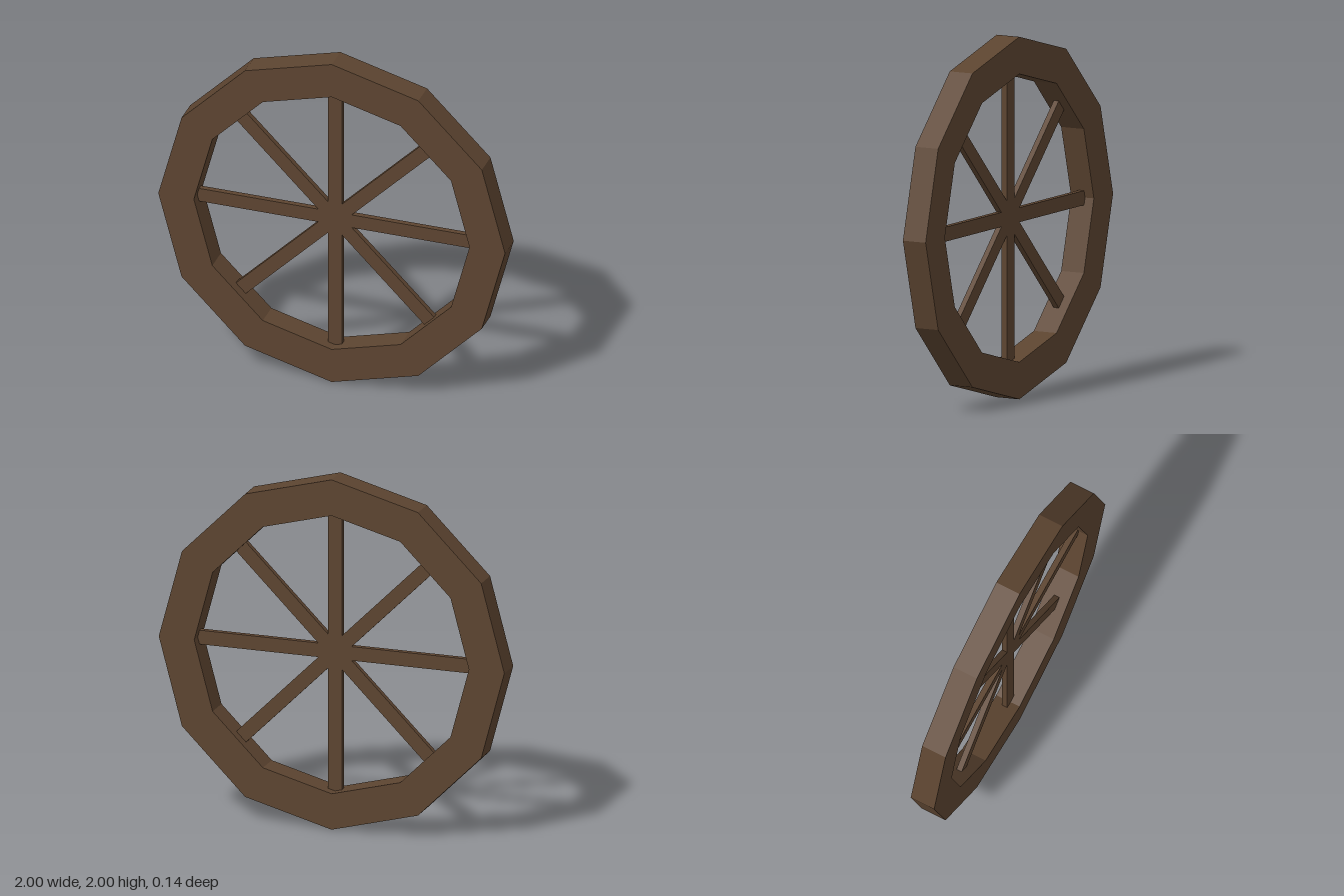
import * as THREE from 'three';

const SIDES = 12;
const OUTER = 1, INNER = 0.795, DEPTH = 0.144;

// Corner points of a regular polygon with a corner at the top
function polygon(radius) {
  return Array.from({ length: SIDES }, (_, i) => {
    const a = Math.PI / 2 + (i / SIDES) * Math.PI * 2;
    return new THREE.Vector2(Math.cos(a) * radius, Math.sin(a) * radius);
  });
}

export function createModel() {
  const wood = new THREE.MeshStandardMaterial({ color: 0x5c4430, flatShading: true });
  wood.name = 'dark wood';

  const wheel = new THREE.Group();
  wheel.name = 'wheel';

  // Twelve-sided rim with an open middle
  const outline = new THREE.Shape(polygon(OUTER));
  outline.holes.push(new THREE.Path(polygon(INNER)));
  const rimGeometry = new THREE.ExtrudeGeometry(outline, { depth: DEPTH, bevelEnabled: false });
  rimGeometry.translate(0, 0, -DEPTH / 2);
  const rim = new THREE.Mesh(rimGeometry, wood);
  rim.name = 'rim';
  wheel.add(rim);

  // Four flat bars crossing at the centre make eight spokes
  const barGeometry = new THREE.BoxGeometry(0.08, 1.62, 0.032);
  for (let i = 0; i < 4; i++) {
    const bar = new THREE.Mesh(barGeometry, wood);
    bar.name = `spokeBar${i + 1}`;
    bar.rotation.z = (i * Math.PI) / 4;
    wheel.add(bar);
  }

  wheel.position.y = OUTER;
  const model = new THREE.Group();
  model.name = 'spokedWheel';
  model.add(wheel);
  return model;
}
